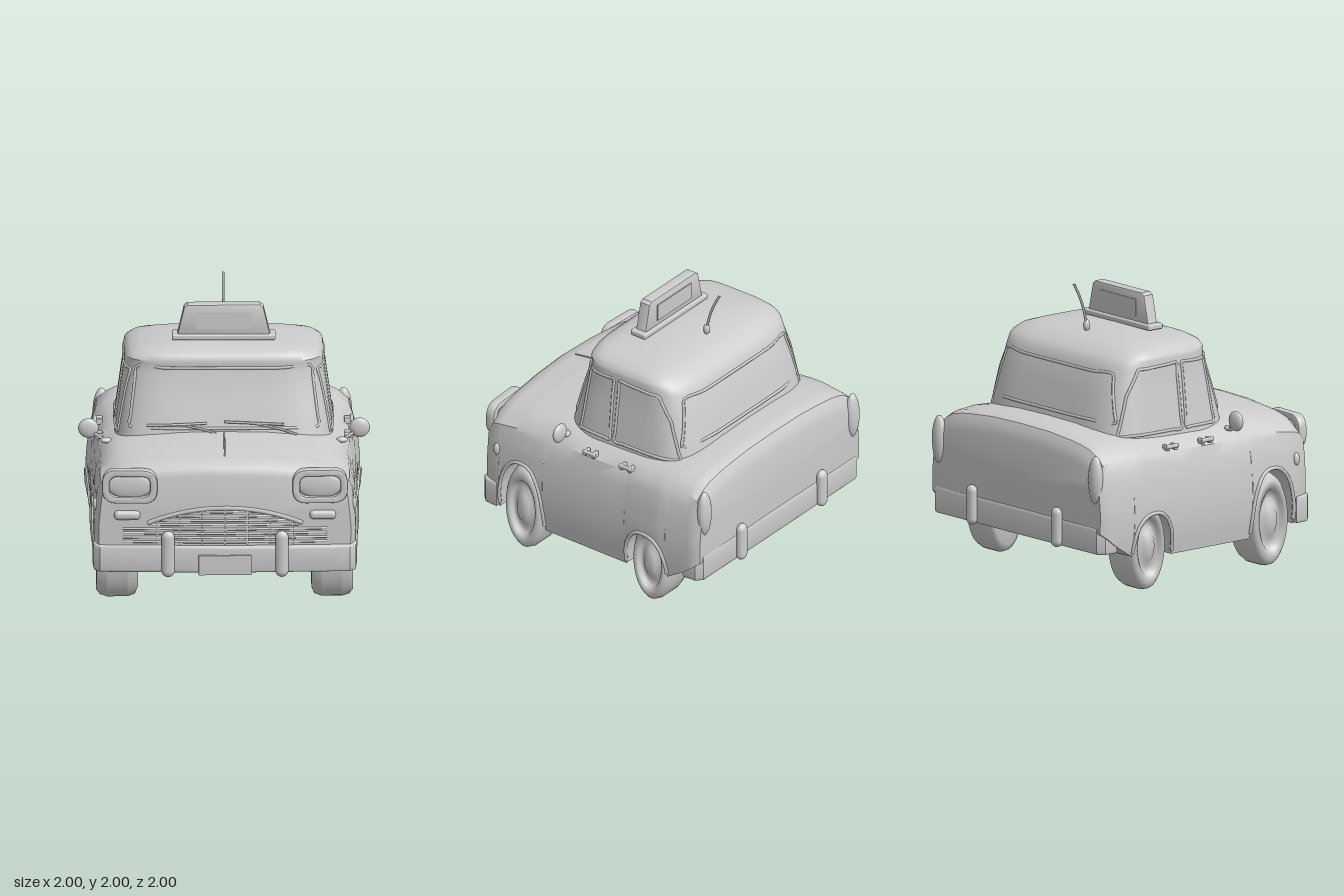
import * as THREE from 'three';
import { toCreasedNormals } from 'three/addons/utils/BufferGeometryUtils.js';
import { RoundedBoxGeometry } from 'three/addons/geometries/RoundedBoxGeometry.js';

const grey = new THREE.MeshStandardMaterial({ color: 0xcccccc });
grey.name = 'light grey';

// piecewise linear lookup; rows are [key, v1, v2...] with ascending keys
function lookup(rows, k) {
  if (k <= rows[0][0]) return rows[0].slice(1);
  for (let i = 1; i < rows.length; i++) {
    if (k <= rows[i][0]) {
      const f = (k - rows[i - 1][0]) / (rows[i][0] - rows[i - 1][0]);
      return rows[i].slice(1).map((v, j) => THREE.MathUtils.lerp(rows[i - 1][j + 1], v, f));
    }
  }
  return rows[rows.length - 1].slice(1);
}

// skin over closed rings of [x, y, z], capped at both ends
function loft(rings, startCap, endCap, crease) {
  const n = rings[0].length, last = (rings.length - 1) * n;
  const pos = rings.flat(2).concat(startCap, endCap), idx = [];
  const s = rings.length * n, e = s + 1;
  for (let j = 0; j < n; j++) {
    const k = (j + 1) % n;
    for (let i = 0; i < last; i += n) {
      idx.push(i + j, i + k, i + n + j, i + k, i + n + k, i + n + j);
    }
    idx.push(s, k, j, e, last + j, last + k);
  }
  const g = new THREE.BufferGeometry();
  g.setAttribute('position', new THREE.Float32BufferAttribute(pos, 3));
  g.setIndex(idx);
  return toCreasedNormals(g, crease);
}

// lower body: deck height, underside height and side width
const DECK = [[-0.945, 0.97], [-0.93, 1.03], [-0.9, 1.08], [-0.85, 1.1], [-0.7, 1.11], [-0.5, 1.1],
  [0.1, 1.09], [0.4, 1.11], [0.65, 1.09], [0.82, 1.065], [0.88, 1.045], [0.905, 1.02], [0.92, 0.97]];
const UNDER = [[-0.945, 0.46], [-0.82, 0.36], [-0.68, 0.27], [-0.3, 0.23], [0.4, 0.23], [0.8, 0.28], [0.92, 0.3]];
const SIDE = [[0.23, 0.885], [0.4, 0.915], [0.6, 0.92], [0.8, 0.9], [0.93, 0.87], [1.0, 0.83], [1.05, 0.77]];
const PLAN = [[-0.945, 0.97], [-0.9, 1.0], [-0.6, 1.025], [-0.3, 1.0], [0.6, 0.99], [0.85, 0.975], [0.92, 0.94]];
const ARCHES = [{ z: 0.6, r: 0.195, top: 0.7 }, { z: -0.49, r: 0.185, top: 0.55 }];

const sideX = (y, z) => lookup(SIDE, y)[0] * lookup(PLAN, z)[0];
const noseZ = x => 0.92 + 0.03 * (1 - Math.abs(x) / 0.9);

function archY(z) {
  const base = lookup(UNDER, z)[0];
  for (const a of ARCHES) {
    const u = Math.abs(z - a.z) / a.r;
    if (u < 1) return base + (a.top - base) * Math.pow(1 - u ** 2.4, 0.42);
  }
  return base;
}

function bodySection(z) {
  const t = lookup(DECK, z)[0], floor = lookup(UNDER, z)[0], yb = archY(z), p = lookup(PLAN, z)[0];
  const half = [[0, t], [0.3, t - 0.005], [0.53, t - 0.025], [0.64, t - 0.04], [0.73, t - 0.06], [0.79, t - 0.09]]
    .map(([x, y]) => [x * p, y]);
  const top = t - 0.15;
  for (let i = 0; i <= 7; i++) {
    const y = THREE.MathUtils.lerp(top, yb, i / 7);
    half.push([sideX(y, z), y]);
  }
  half.push([0.56, yb], [0.56, floor], [0, floor]);
  const ring = half.concat(half.slice(1, -1).reverse().map(([x, y]) => [-x, y]));
  const k = THREE.MathUtils.smoothstep(z, 0.7, 0.92);
  return ring.map(([x, y]) => [x, y, z + k * (noseZ(x) - 0.92)]);
}

// cabin rings: height, front z, rear z, half width
const CABIN = [[0.98, 0.42, -0.7, 0.755], [1.32, 0.33, -0.63, 0.71], [1.5, 0.275, -0.575, 0.685],
  [1.55, 0.27, -0.55, 0.685], [1.575, 0.275, -0.52, 0.68], [1.61, 0.26, -0.465, 0.645],
  [1.635, 0.225, -0.4, 0.57], [1.655, 0.15, -0.3, 0.42], [1.667, 0.03, -0.15, 0.18]];
const SQ = 5;
function cabinX(y, z) {
  const [f, r, w] = lookup(CABIN, y);
  return w * Math.pow(1 - Math.abs((z - (f + r) / 2) / ((f - r) / 2)) ** SQ, 1 / SQ);
}
function cabinZ(y, x, end) {
  const [f, r, w] = lookup(CABIN, y);
  return (f + r) / 2 + end * (f - r) / 2 * Math.pow(1 - Math.abs(x / w) ** SQ, 1 / SQ);
}
function cabinRing([y, f, r, w]) {
  const pow = v => Math.sign(v) * Math.abs(v) ** (2 / SQ);
  return Array.from({ length: 72 }, (_, i) => {
    const a = i / 72 * Math.PI * 2;
    return [w * pow(Math.cos(a)), y, (f + r) / 2 - (f - r) / 2 * pow(Math.sin(a))];
  });
}

function tube(points, radius, closed = false, steps = 40) {
  const curve = new THREE.CatmullRomCurve3(points.map(p => new THREE.Vector3(...p)), closed);
  return new THREE.TubeGeometry(curve, steps, radius, 6, closed);
}
// subdivide a closed outline and place it on a surface
function outline(corners, place, radius) {
  const pts = [];
  corners.forEach(([a, b], i) => {
    const [c, d] = corners[(i + 1) % corners.length];
    for (let k = 0; k < 6; k++) pts.push(place(a + (c - a) * k / 6, b + (d - b) * k / 6));
  });
  return tube(pts, radius, true, 100);
}
function roundedRect(w, h, r) {
  const s = new THREE.Shape(), x = w / 2, y = h / 2;
  s.moveTo(-x + r, -y).lineTo(x - r, -y).quadraticCurveTo(x, -y, x, -y + r).lineTo(x, y - r);
  s.quadraticCurveTo(x, y, x - r, y).lineTo(-x + r, y).quadraticCurveTo(-x, y, -x, y - r);
  s.lineTo(-x, -y + r).quadraticCurveTo(-x, -y, -x + r, -y);
  return s;
}
const ball = (x, y, z) => new THREE.SphereGeometry(1, 20, 14).scale(x, y, z);

export function createModel() {
  const car = new THREE.Group();
  car.name = 'taxi';
  const add = (name, geo, x = 0, y = 0, z = 0) => {
    const m = new THREE.Mesh(geo, grey);
    m.name = name;
    m.position.set(x, y, z);
    car.add(m);
    return m;
  };

  // lower body, with extra stations around the wheel arches
  const stations = [...DECK.map(r => r[0]), ...UNDER.map(r => r[0]), -0.2, 0, 0.2];
  for (const a of ARCHES) for (let i = 0; i <= 18; i++) stations.push(a.z + a.r * Math.cos(i / 18 * Math.PI));
  const zs = [...new Set(stations)].sort((a, b) => b - a);
  add('lowerBody', loft(zs.map(bodySection), [0, 0.65, 0.95], [0, 0.7, -0.95], 0.6));
  add('cabin', loft(CABIN.map(cabinRing), [0, 0.98, -0.14], [0, 1.67, -0.06], 0.7));

  // window frames
  const frames = { windscreenFrame: [[[-0.65, 1.13], [0.65, 1.13], [0.6, 1.53], [-0.6, 1.53]], 1],
    rearWindowFrame: [[[-0.64, 1.15], [0.64, 1.15], [0.56, 1.47], [-0.56, 1.47]], -1] };
  for (const [name, [pts, end]] of Object.entries(frames)) {
    add(name, outline(pts, (x, y) => [x, y, cabinZ(y, x, end)], 0.011));
  }
  const panes = [[[0.21, 1.06], [0.18, 1.5], [-0.04, 1.51], [-0.05, 1.06]],
    [[-0.09, 1.06], [-0.09, 1.51], [-0.42, 1.5], [-0.52, 1.33], [-0.6, 1.06]]];

  // wheel profile from inner to outer face
  const wheelProfile = [[0, -0.14], [0.8, -0.14], [0.94, -0.12], [1, -0.07], [1, 0.07], [0.95, 0.12], [0.85, 0.145],
    [0.66, 0.14], [0.62, 0.115], [0.45, 0.11], [0.32, 0.135], [0, 0.15]].map(p => new THREE.Vector2(...p));

  for (const s of [1, -1]) {
    const side = s > 0 ? 'left' : 'right';
    panes.forEach((p, i) => add(side + (i ? 'RearDoor' : 'FrontDoor') + 'WindowFrame',
      outline(p, (z, y) => [s * cabinX(y, z), y, z], 0.011)));

    // wheels and arch lips
    [[0.605, 0.33, 0.165, 0.735], [-0.505, 0.31, 0.157, 0.75]].forEach(([z, ry, rz, x], i) => {
      const wheel = toCreasedNormals(new THREE.LatheGeometry(wheelProfile, 36), 0.6);
      wheel.rotateZ(-Math.PI / 2).scale(1, ry, rz);
      add(side + (i ? 'RearWheel' : 'FrontWheel'), wheel, s * x, ry, z).rotation.y = s > 0 ? 0 : Math.PI;
      const a = ARCHES[i], lip = [];
      for (let k = 0; k <= 16; k++) {
        const zz = a.z + a.r * 0.999 * Math.cos(k / 16 * Math.PI), y = archY(zz);
        lip.push([s * sideX(y, zz), y, zz]);
      }
      add(side + (i ? 'RearArchLip' : 'FrontArchLip'), tube(lip, 0.014));
    });

    // headlight bezel and lens, turn signals, tail light, side marker
    const bezel = roundedRect(0.36, 0.22, 0.09);
    bezel.holes.push(roundedRect(0.3, 0.165, 0.07));
    const bezelGeo = new THREE.ExtrudeGeometry(bezel, { depth: 0.05, bevelSize: 0.01, bevelThickness: 0.01, bevelSegments: 2 });
    add(side + 'HeadlightBezel', toCreasedNormals(bezelGeo, 0.7), s * 0.65, 0.895, 0.9).rotation.y = s * 0.05;
    add(side + 'HeadlightLens', ball(0.155, 0.09, 0.022), s * 0.65, 0.895, 0.928);
    add(side + 'TurnSignal', new RoundedBoxGeometry(0.18, 0.065, 0.06, 3, 0.028), s * 0.67, 0.685, 0.925);
    add(side + 'TailLight', ball(0.06, 0.17, 0.045), s * 0.83, 0.83, -0.935);
    add(side + 'SideMarker', ball(0.02, 0.045, 0.025), s * sideX(0.73, 0.82), 0.73, 0.82);

    // door handles
    for (const z of [0.025, -0.29]) {
      add(side + 'DoorHandle', new RoundedBoxGeometry(0.025, 0.028, 0.11, 2, 0.01), s * 0.882, 0.985, z);
      for (const d of [-0.035, 0.035]) {
        add(side + 'HandleMount', new RoundedBoxGeometry(0.06, 0.04, 0.025, 2, 0.008), s * 0.858, 0.975, z + d);
      }
    }

    // door mirror on a thin stalk
    add(side + 'MirrorHead', ball(0.07, 0.07, 0.03), s * 0.93, 1.09, 0.24);
    add(side + 'MirrorStalk', tube([[s * 0.8, 1.0, 0.28], [s * 0.86, 1.04, 0.26], [s * 0.92, 1.08, 0.24]], 0.011));
    add(side + 'MirrorFoot', ball(0.04, 0.02, 0.03), s * 0.81, 1.015, 0.28);

    // bumper guards
    add(side + 'FrontBumperGuard', new THREE.CapsuleGeometry(0.045, 0.24, 6, 14).scale(1, 1, 0.75), s * 0.39, 0.415, 0.964);
    add(side + 'RearBumperGuard', new THREE.CapsuleGeometry(0.045, 0.19, 6, 14).scale(1, 1, 0.75), s * 0.45, 0.44, -0.966);
  }

  // wrap-around bumpers, drawn in plan and raised
  const bumper = (tip, y, name, end) => {
    const plan = new THREE.Shape([[-0.89, 0.82], [-0.885, 0.9], [-0.85, 0.935], [0, tip], [0.85, 0.935], [0.885, 0.9],
      [0.89, 0.82], [0.83, 0.82], [0.81, 0.87], [0, 0.9], [-0.81, 0.87], [-0.83, 0.82]].map(p => new THREE.Vector2(...p)));
    const g = new THREE.ExtrudeGeometry(plan, { depth: 0.15, bevelSize: 0.015, bevelThickness: 0.02, bevelSegments: 3 });
    g.rotateX(Math.PI / 2);
    add(name, toCreasedNormals(g, 0.6), 0, y + 0.17, 0).rotation.y = end > 0 ? 0 : Math.PI;
  };
  bumper(0.965, 0.28, 'frontBumper', 1);
  bumper(0.94, 0.31, 'rearBumper', -1);
  add('frontPlate', new THREE.BoxGeometry(0.36, 0.14, 0.02), 0, 0.34, 0.98);

  // grille: arched frame, horizontal slats and uprights
  const archTop = x => 0.74 - 0.11 * (x / 0.53) ** 2;
  const arch = Array.from({ length: 13 }, (_, i) => -0.53 + i * 1.06 / 12).map(x => [x, archTop(x), noseZ(x)]);
  add('grilleArch', tube(arch, 0.016));
  for (let i = 0; i < 8; i++) {
    const y = 0.495 + i * 0.031;
    const w = i < 4 ? 0.7 : 0.53 * Math.sqrt(Math.min(1, (0.74 - y) / 0.11));
    add('grilleSlat', tube([[-w, y, noseZ(w)], [0, y, noseZ(0)], [w, y, noseZ(w)]], 0.009, false, 12));
  }
  for (let i = -3; i <= 3; i++) {
    const x = i * 0.155, h = archTop(x) - 0.48;
    add('grilleUpright', new THREE.BoxGeometry(0.012, h, 0.02), x, 0.48 + h / 2, noseZ(x));
  }

  // bonnet seam and wipers
  add('bonnetSeam', tube([[0, 1.108, 0.42], [0, 1.09, 0.65], [0, 1.068, 0.82]], 0.006));
  const wiper = (blade, arm, name) => {
    const on = ([x, y]) => [x, y, cabinZ(y, x, 1) + 0.02];
    const [a, b] = blade;
    add(name + 'WiperBlade', tube([on(a), on([(a[0] + b[0]) / 2, (a[1] + b[1]) / 2]), on(b)], 0.009));
    add(name + 'WiperArm', tube(arm.map(on), 0.008));
  };
  wiper([[-0.53, 1.15], [-0.12, 1.17]], [[-0.32, 1.165], [-0.15, 1.13], [-0.01, 1.09]], 'right');
  wiper([[0, 1.18], [0.41, 1.16]], [[0.2, 1.17], [0.38, 1.13], [0.5, 1.09]], 'left');

  // roof sign with blank panels
  add('signBase', new RoundedBoxGeometry(0.71, 0.04, 0.13, 2, 0.012), 0, 1.685, 0.01);
  const signShape = new THREE.Shape([[-0.31, 0], [0.31, 0], [0.265, 0.19], [0.245, 0.205], [-0.245, 0.205], [-0.265, 0.19]]
    .map(p => new THREE.Vector2(...p)));
  const sign = new THREE.ExtrudeGeometry(signShape, { depth: 0.065, bevelSize: 0.008, bevelThickness: 0.01, bevelSegments: 2 });
  add('signBody', toCreasedNormals(sign, 0.6), 0, 1.7, -0.022);
  for (const z of [0.055, -0.034]) add('signPanel', new THREE.BoxGeometry(0.38, 0.12, 0.008), 0, 1.8, z);

  // aerial
  add('aerialBase', ball(0.024, 0.04, 0.024), 0, 1.685, -0.315);
  add('aerial', tube([[0, 1.69, -0.315], [0, 1.81, -0.345], [0, 1.91, -0.385], [0, 1.995, -0.43]], 0.009));
  return car;
}
